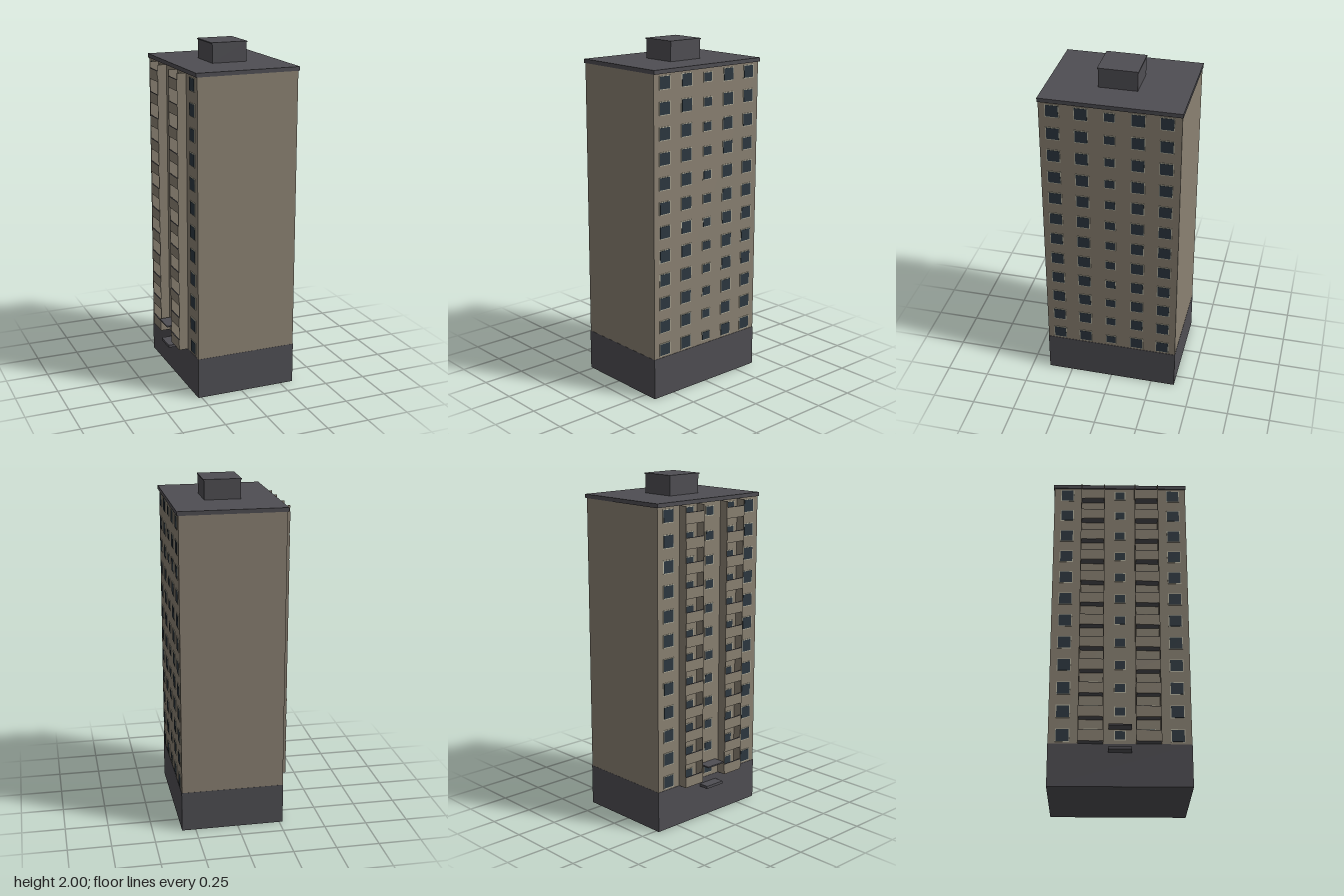
import * as THREE from 'three';

const mat = (name, color) => Object.assign(new THREE.MeshStandardMaterial({ color }), { name });

export function createModel() {
  const wall = mat('beige wall', 0x8a8172);
  const dark = mat('dark grey', 0x4f4e53);
  const glass = mat('window glass', 0x2c3740);
  const trim = mat('pale frame', 0xb5b29f);

  const model = new THREE.Group();
  model.name = 'apartmentTower';

  // box given by its limits on each axis
  function box(name, material, [x0, x1], [y0, y1], [z0, z1], parent = model) {
    const mesh = new THREE.Mesh(new THREE.BoxGeometry(x1 - x0, y1 - y0, z1 - z0), material);
    mesh.position.set((x0 + x1) / 2, (y0 + y1) / 2, (z0 + z1) / 2);
    mesh.name = name;
    parent.add(mesh);
    return mesh;
  }

  // main volumes
  box('base', dark, [-0.27, 0.33], [0, 0.24], [-0.393, 0.393]);
  box('tower', wall, [-0.268, 0.328], [0.24, 1.862], [-0.392, 0.392]);
  box('roofSlab', dark, [-0.275, 0.337], [1.862, 1.885], [-0.397, 0.395]);
  box('roofHouse', dark, [-0.067, 0.141], [1.885, 1.995], [-0.112, 0.108]);
  box('roofHouseCap', dark, [-0.071, 0.145], [1.993, 2], [-0.116, 0.112]);

  // framed window on a side wall; dir is the way it faces along x
  function addWindow(parent, dir, y, z, w, h) {
    const face = dir > 0 ? 0.328 : -0.268;
    const plate = (name, material, depth, pw, ph) => {
      const a = face - dir * 0.002, b = face + dir * depth;
      box(name, material, [Math.min(a, b), Math.max(a, b)],
        [y - ph / 2, y + ph / 2], [z - pw / 2, z + pw / 2], parent);
    };
    plate('windowFrame', trim, 0.003, w + 0.008, h + 0.008);
    plate('windowGlass', glass, 0.004, w, h);
  }

  const floors = 12, pitch = 0.1386, firstY = 0.288;
  const balconies = [[-0.231, -0.091], [0.086, 0.226]];

  for (let i = 0; i < floors; i++) {
    const y = firstY + i * pitch;
    const floor = new THREE.Group();
    floor.name = 'floor' + (i + 1);
    model.add(floor);

    // plain window side
    for (const z of [-0.314, -0.157, 0.157, 0.316]) addWindow(floor, 1, y, z, 0.07, 0.068);
    addWindow(floor, 1, y, 0, 0.056, 0.048);

    // balcony side
    for (const z of [-0.314, 0.316]) addWindow(floor, -1, y, z, 0.07, 0.068);
    addWindow(floor, -1, y, 0, 0.056, 0.048);
    for (const [z0, z1] of balconies) {
      addWindow(floor, -1, y, (z0 + z1) / 2, 0.07, 0.068);
      box('balconyFloor', dark, [-0.318, -0.268], [y - 0.048, y - 0.04], [z0 + 0.005, z1 - 0.005], floor);
      box('balconyParapet', wall, [-0.323, -0.319], [y - 0.048, y + 0.012], [z0 + 0.002, z1 - 0.002], floor);
      box('parapetCap', dark, [-0.323, -0.317], [y + 0.012, y + 0.015], [z0 + 0.005, z1 - 0.005], floor);
    }
  }

  // full-height fins on both sides of each balcony stack
  for (const [z0, z1] of balconies) {
    box('balconyFin', wall, [-0.321, -0.268], [0.24, 1.862], [z0, z0 + 0.005]);
    box('balconyFin', wall, [-0.321, -0.268], [0.24, 1.862], [z1 - 0.005, z1]);
  }

  // entrance canopies
  box('lowerCanopy', dark, [-0.33, -0.268], [0.19, 0.206], [-0.064, 0.063]);
  box('upperCanopy', dark, [-0.34, -0.268], [0.322, 0.33], [-0.064, 0.063]);

  return model;
}
